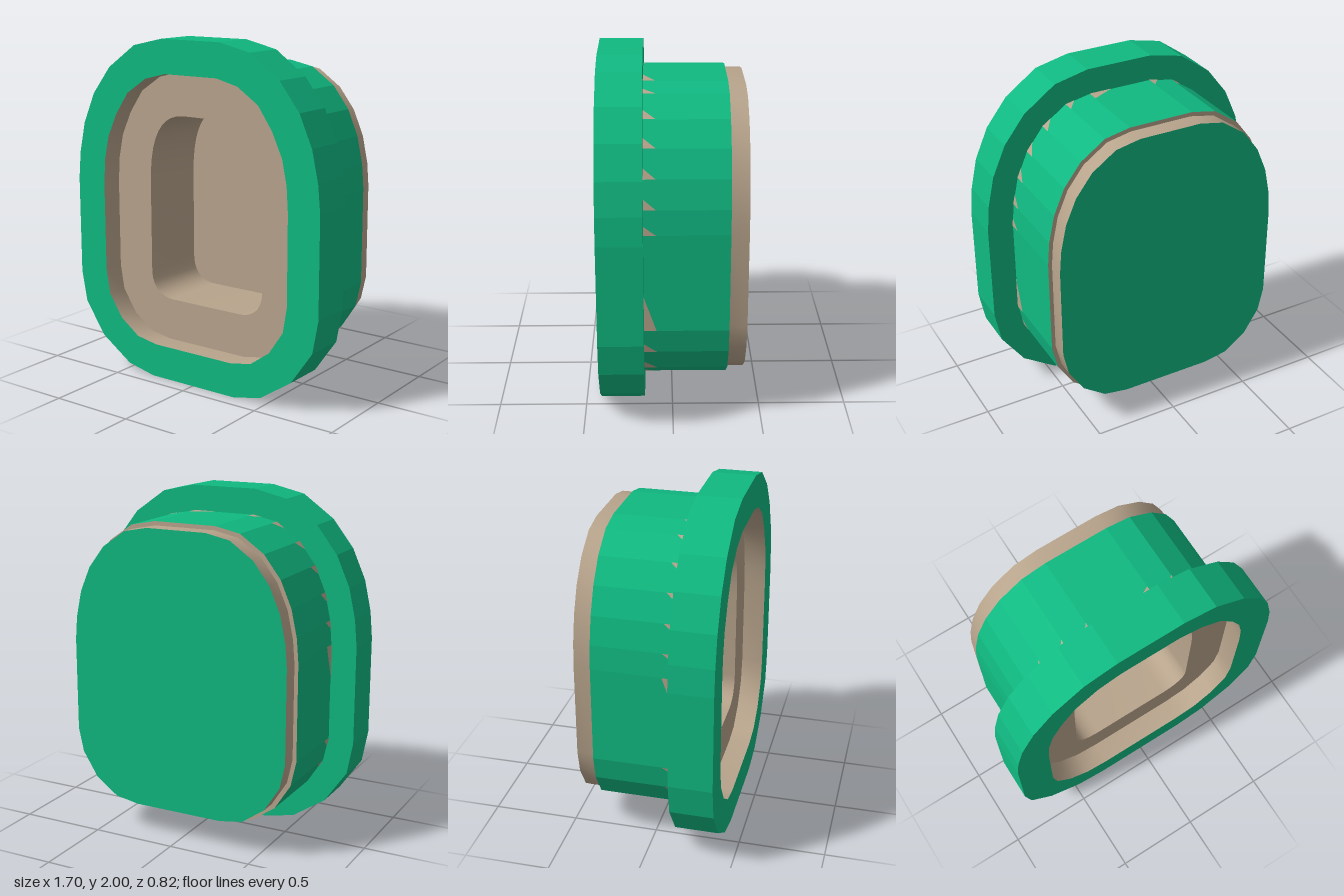
import * as THREE from 'three';
import { toCreasedNormals } from 'three/addons/utils/BufferGeometryUtils.js';

const green = new THREE.MeshStandardMaterial({ color: 0x10b981 });
green.name = 'green';
const tan = new THREE.MeshStandardMaterial({ color: 0xb8a48c });
tan.name = 'tan';

// Right half of an outline, bottom to top, closed by mirroring (counterclockwise)
const mirror = (half) => [
  ...half.map(([x, y]) => new THREE.Vector2(x, y)),
  ...[...half].reverse().map(([x, y]) => new THREE.Vector2(-x, y)),
];

const rimOutline = mirror([[0.295, 0], [0.48, 0.04], [0.68, 0.175], [0.815, 0.37], [0.85, 0.56], [0.85, 1.14],
  [0.835, 1.3], [0.795, 1.48], [0.715, 1.66], [0.59, 1.82], [0.4, 1.955], [0.2, 2]]);
const openingOutline = mirror([[0.27, 0.2], [0.41, 0.225], [0.535, 0.315], [0.625, 0.45], [0.65, 0.6], [0.65, 1.12],
  [0.64, 1.27], [0.61, 1.41], [0.545, 1.55], [0.455, 1.68], [0.32, 1.77], [0.18, 1.805]]);
const bodyOutline = mirror([[0.28, 0.155], [0.43, 0.18], [0.57, 0.28], [0.665, 0.43], [0.697, 0.575], [0.697, 1.14],
  [0.685, 1.28], [0.65, 1.44], [0.585, 1.59], [0.485, 1.72], [0.34, 1.82], [0.19, 1.85]]);
// The back plug is the body outline shrunk about its centre
const plugOutline = bodyOutline.map((p) => new THREE.Vector2(p.x * 0.967, 1.004 + (p.y - 1.004) * 0.972));

// Smooth recess: tight lower corners, long upper corners
const recess = new THREE.Shape();
recess.moveTo(-0.24, 0.45);
recess.lineTo(0.24, 0.45);
recess.bezierCurveTo(0.34, 0.45, 0.4, 0.51, 0.4, 0.61);
recess.lineTo(0.4, 1.14);
recess.quadraticCurveTo(0.4, 1.555, 0.15, 1.555);
recess.lineTo(-0.15, 1.555);
recess.quadraticCurveTo(-0.4, 1.555, -0.4, 1.14);
recess.lineTo(-0.4, 0.61);
recess.bezierCurveTo(-0.4, 0.51, -0.34, 0.45, -0.24, 0.45);
const recessOutline = recess.getPoints(10).slice(0, -1);

export function createModel() {
  const group = new THREE.Group();

  const add = (name, geometry, material) => {
    const mesh = new THREE.Mesh(geometry, material);
    mesh.name = name;
    group.add(mesh);
    return mesh;
  };

  const fromTriangles = (positions) => {
    const g = new THREE.BufferGeometry();
    g.setAttribute('position', new THREE.Float32BufferAttribute(positions, 3));
    g.computeVertexNormals();
    return g;
  };

  // Wall between two depths; inward walls run the outline backwards
  const wall = (name, outline, z0, z1, material, { inward = false, smooth = false } = {}) => {
    const pts = inward ? [...outline].reverse() : outline;
    const pos = [];
    pts.forEach((a, i) => {
      const b = pts[(i + 1) % pts.length];
      pos.push(a.x, a.y, z0, b.x, b.y, z0, b.x, b.y, z1);
      pos.push(a.x, a.y, z0, b.x, b.y, z1, a.x, a.y, z1);
    });
    const g = fromTriangles(pos);
    add(name, smooth ? toCreasedNormals(g, 0.8) : g, material);
  };

  // Flat face, optionally with a hole, turned round for the back
  const face = (name, outline, z, material, hole = null, back = false) => {
    const shape = new THREE.Shape(outline);
    if (hole) shape.holes.push(new THREE.Path(hole));
    const g = new THREE.ShapeGeometry(shape);
    if (back) g.rotateY(Math.PI);
    g.translate(0, 0, z);
    add(name, g, material);
  };

  const FRONT = 0.41, RIM_BACK = 0.16, SHELF = 0.28, FLOOR = -0.13, BODY_BACK = -0.31, BACK = -0.41;

  // Front rim
  wall('rimSide', rimOutline, RIM_BACK, FRONT, green);
  face('rimFront', rimOutline, FRONT, green, openingOutline);
  face('rimBack', rimOutline, RIM_BACK, green, bodyOutline, true);

  // Opening, shelf and recess
  wall('openingWall', openingOutline, SHELF, FRONT, tan, { inward: true, smooth: true });
  face('shelf', openingOutline, SHELF, tan, recessOutline);
  wall('recessWall', recessOutline, FLOOR, SHELF, tan, { inward: true, smooth: true });
  face('recessFloor', recessOutline, FLOOR, tan);

  // Body and back plug
  wall('bodySide', bodyOutline, BODY_BACK, RIM_BACK, green);
  face('bodyStep', bodyOutline, BODY_BACK, tan, plugOutline, true);
  wall('plugSide', plugOutline, BACK, BODY_BACK, tan, { smooth: true });
  face('plugBack', plugOutline, BACK, green, null, true);

  // Small tan notches where the body meets the rim, one per facet
  const notches = [];
  bodyOutline.forEach((p, i) => {
    const q = bodyOutline[(i + 1) % bodyOutline.length];
    const out = new THREE.Vector2(q.y - p.y, p.x - q.x).setLength(0.002);
    const a = p.clone().add(out);
    const b = p.clone().lerp(q, 0.36).add(out);
    notches.push(a.x, a.y, 0.09, b.x, b.y, RIM_BACK, a.x, a.y, RIM_BACK);
  });
  add('bodyNotches', fromTriangles(notches), tan);

  return group;
}
